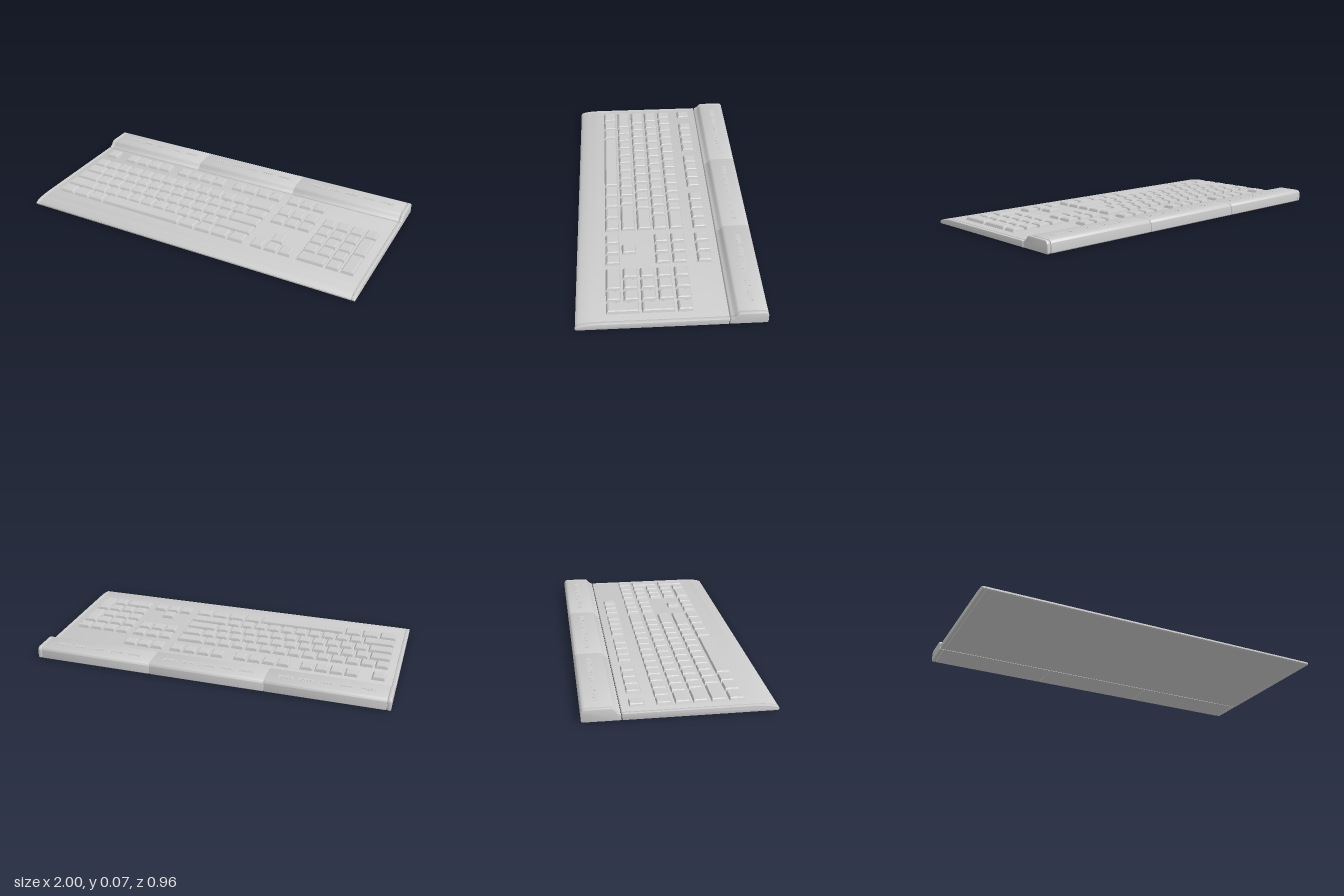
import * as THREE from 'three';
import { toCreasedNormals } from 'three/addons/utils/BufferGeometryUtils.js';

const material = new THREE.MeshStandardMaterial({ color: 0xcccccc });

const DECK_Y = 0.034;
const KEY_TOP = 0.051;
const UNIT = 0.0827; // pitch of one key

function addMesh(parent, name, geometry) {
  const mesh = new THREE.Mesh(geometry, material);
  mesh.name = name;
  parent.add(mesh);
  return mesh;
}

// Side outlines, drawn with shape x = -z
function deckShape() {
  const s = new THREE.Shape();
  s.moveTo(-0.474, 0);
  s.lineTo(0.283, 0);
  s.lineTo(0.286, 0.031);
  s.lineTo(0.283, DECK_Y);
  s.lineTo(-0.37, DECK_Y);
  s.bezierCurveTo(-0.42, 0.033, -0.475, 0.026, -0.48, 0.012);
  s.lineTo(-0.48, 0.005);
  s.closePath();
  return s;
}

function housingShape() {
  const s = new THREE.Shape();
  s.moveTo(0.287, 0);
  s.lineTo(0.475, 0);
  s.lineTo(0.48, 0.005);
  s.lineTo(0.48, 0.045);
  s.quadraticCurveTo(0.479, 0.064, 0.458, 0.067);
  s.lineTo(0.338, 0.067);
  s.bezierCurveTo(0.318, 0.065, 0.316, 0.041, 0.293, 0.035);
  s.lineTo(0.29, 0.031);
  s.closePath();
  return s;
}

// Pull an outline across from x0 to x1 with softened ends
function extrudeAcross(shape, x0, x1, bevel) {
  const g = new THREE.ExtrudeGeometry(shape, {
    depth: x1 - x0 - 2 * bevel,
    curveSegments: 8,
    bevelEnabled: true,
    bevelThickness: bevel,
    bevelSize: bevel,
    bevelOffset: -bevel,
    bevelSegments: 2,
  });
  g.translate(0, 0, x0 + bevel);
  g.rotateY(Math.PI / 2);
  return toCreasedNormals(g, 0.6);
}

// Keycap: steep at the back, sloped at the front and sides
function keyGeometry(w, d) {
  const h = KEY_TOP - DECK_Y + 0.004;
  const g = new THREE.BoxGeometry(w, h, d, 1, 2, 1);
  const p = g.attributes.position;
  for (let i = 0; i < p.count; i++) {
    const t = p.getY(i) / h + 0.5;
    const middle = t > 0.4 && t < 0.9;
    const inset = middle ? 0.6 : Math.round(t);
    if (middle) p.setY(i, h * 0.3);
    p.setX(i, p.getX(i) - Math.sign(p.getX(i)) * 0.012 * inset);
    p.setZ(i, p.getZ(i) - (p.getZ(i) > 0 ? 0.016 : -0.005) * inset);
  }
  g.translate(0, KEY_TOP - h / 2, 0);
  return toCreasedNormals(g, 0.3);
}

const rowZ = [-0.204, -0.071, 0.02, 0.109, 0.199, 0.288];
const KEY_DEPTH = 0.08;

// A run of keys; widths are in key units
function addKeys(parent, x, row, widths, rowSpan = 1) {
  const zEnd = rowZ[row + rowSpan - 1];
  const z = (rowZ[row] + zEnd) / 2;
  const depth = zEnd - rowZ[row] + KEY_DEPTH;
  for (const units of widths) {
    const w = units * UNIT;
    addMesh(parent, 'key', keyGeometry(w - 0.006, depth)).position.set(x + w / 2, 0, z);
    x += w;
  }
}

const ones = (n) => Array(n).fill(1);

function addGroup(parent, name) {
  const g = new THREE.Group();
  g.name = name;
  parent.add(g);
  return g;
}

export function createModel() {
  const model = new THREE.Group();
  model.name = 'keyboard';

  // Case: deck and three-part rear housing between two end caps
  addMesh(model, 'deck', extrudeAcross(deckShape(), -0.978, 0.978, 0.002));
  const splits = [-0.978, -0.328, 0.322, 0.978];
  for (let i = 0; i < 3; i++) {
    addMesh(model, 'rearHousing',
      extrudeAcross(housingShape(), splits[i] + 0.001, splits[i + 1] - 0.001, 0.004));
  }
  for (const side of [-1, 1]) {
    const x0 = side > 0 ? 0.979 : -1;
    const name = side > 0 ? 'left' : 'right';
    addMesh(model, name + 'DeckCap', extrudeAcross(deckShape(), x0, x0 + 0.021, 0.004));
    addMesh(model, name + 'HousingCap', extrudeAcross(housingShape(), x0, x0 + 0.021, 0.005));
  }

  // Small flat buttons along the rear housing, five per section
  const buttons = addGroup(model, 'housingButtons');
  for (const start of [-0.865, -0.21, 0.44]) {
    for (let i = 0; i < 5; i++) {
      const x = start + i * 0.1075;
      addMesh(buttons, 'buttonBase', new THREE.BoxGeometry(0.084, 0.003, 0.026))
        .position.set(x, 0.0662, -0.403);
      addMesh(buttons, 'buttonTop', new THREE.BoxGeometry(0.066, 0.003, 0.012))
        .position.set(x, 0.0675, -0.403);
    }
  }

  // Main typing block
  const main = addGroup(model, 'mainKeys');
  const mainX = -0.942;
  const mainRows = [
    [...ones(13), 2],
    [1.5, ...ones(12), 1.5],
    [1.75, ...ones(11), 2.25],
    [2.25, ...ones(10), 2.75],
    [1.25, 1.25, 1.25, 6.25, 1.25, 1.25, 1.25, 1.25],
  ];
  mainRows.forEach((widths, i) => addKeys(main, mainX, i + 1, widths));

  // Top row: a single key, then three sets of four
  const topRow = addGroup(model, 'topRowKeys');
  addKeys(topRow, mainX, 0, [1]);
  for (const u of [1.78, 6.37, 11]) addKeys(topRow, mainX + u * UNIT, 0, ones(4));

  // Navigation and arrow keys
  const nav = addGroup(model, 'navigationKeys');
  const navX = 0.332;
  for (const row of [0, 1, 2, 5]) addKeys(nav, navX, row, ones(3));
  addKeys(nav, navX + UNIT, 4, [1]);

  // Number pad
  const pad = addGroup(model, 'numberPad');
  const padX = 0.606;
  addKeys(pad, padX, 1, ones(4));
  for (const row of [2, 3, 4]) addKeys(pad, padX, row, ones(3));
  addKeys(pad, padX, 5, [2, 1]);
  for (const row of [2, 4]) addKeys(pad, padX + 3 * UNIT, row, [1], 2);

  return model;
}
